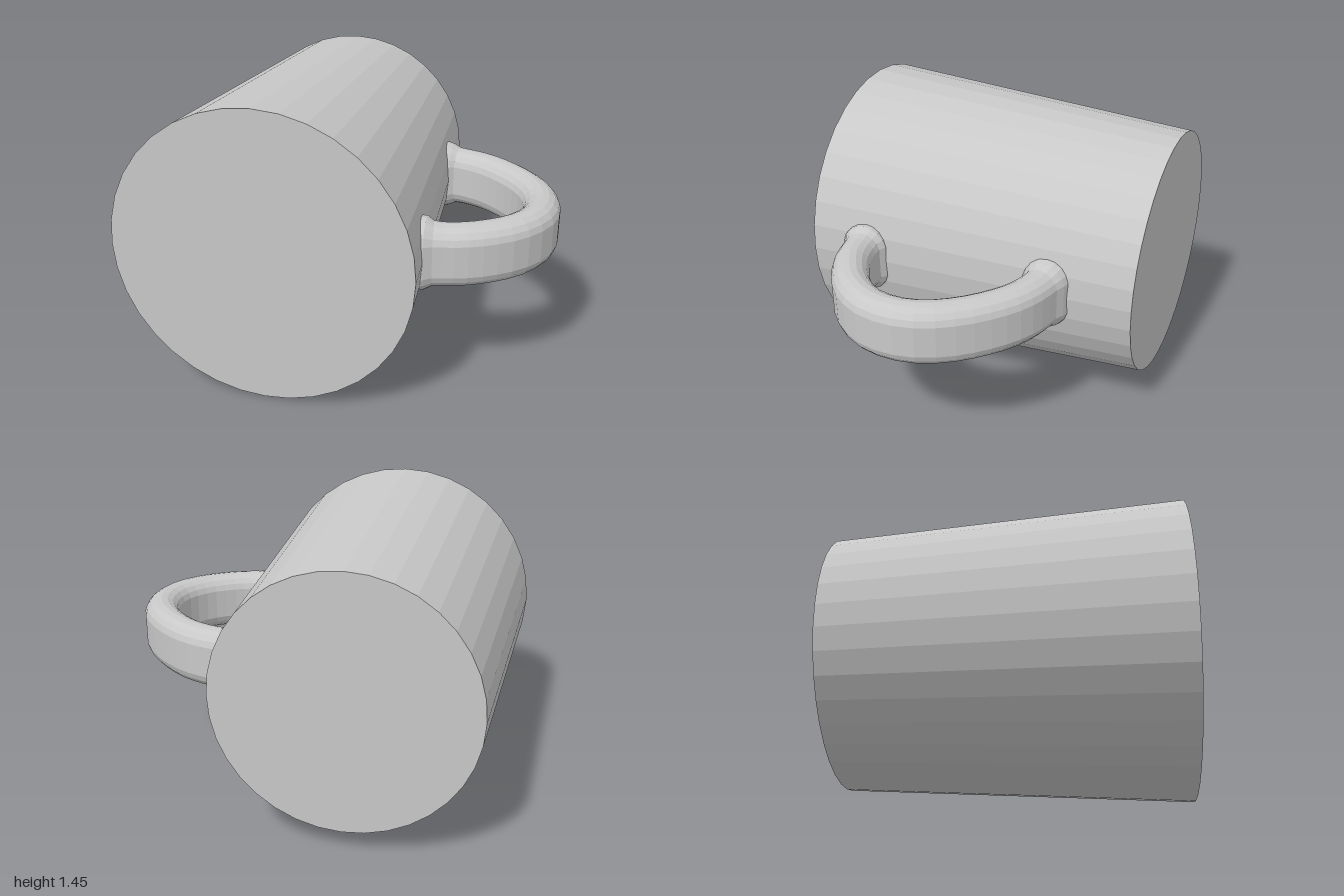
import * as THREE from 'three';

const AXIS_X = -0.275, AXIS_Y = 0.726;

// Handle centre line as [x, z] pairs, starting and ending inside the body
const PATH = [[0.32, -0.41], [0.44, -0.4], [0.6, -0.34], [0.785, -0.185], [0.88, -0.04], [0.91, 0.09],
  [0.89, 0.23], [0.8, 0.37], [0.675, 0.465], [0.58, 0.51], [0.46, 0.535], [0.37, 0.54]];

// Sweeps a stadium-shaped section along the path, flaring where it meets the body
function handleGeometry(steps, sides) {
  const curve = new THREE.CatmullRomCurve3(PATH.map(([x, z]) => new THREE.Vector3(x, AXIS_Y, z)));
  const up = new THREE.Vector3(0, 1, 0);
  const pos = [], index = [];
  for (let i = 0; i <= steps; i++) {
    // rings crowd towards both ends so the fillets are round
    const t = (1 - Math.cos(Math.PI * i / steps)) / 2;
    const c = curve.getPointAt(t);
    const n = up.clone().cross(curve.getTangentAt(t));
    const surface = AXIS_X + 0.6725 + 0.063 * c.z;
    const gap = Math.max(0, c.x - surface);
    const r = 0.091 + 0.026 * Math.pow(Math.max(0, 1 - gap / 0.06), 2);
    for (let j = 0; j < sides; j++) {
      const a = (j + 0.5) / sides * Math.PI * 2;
      const p = c.clone().addScaledVector(n, r * Math.cos(a));
      p.y += r * Math.sin(a) + 0.062 * Math.sign(Math.sin(a));
      pos.push(p.x, p.y, p.z);
    }
  }
  for (let i = 0; i < steps; i++) {
    for (let j = 0; j < sides; j++) {
      const k = (j + 1) % sides;
      const a = i * sides + j, b = i * sides + k, c = b + sides, d = a + sides;
      index.push(a, b, c, a, c, d);
    }
  }
  const g = new THREE.BufferGeometry();
  g.setAttribute('position', new THREE.Float32BufferAttribute(pos, 3));
  g.setIndex(index);
  g.computeVertexNormals();
  return g;
}

export function createModel() {
  const model = new THREE.Group();
  const grey = new THREE.MeshStandardMaterial({ color: 0xc8c8c8, flatShading: true });
  grey.name = 'light grey';

  // Tapered closed body lying along z, wide end to the front
  const body = new THREE.Mesh(new THREE.CylinderGeometry(0.726, 0.622, 1.66, 36).rotateX(Math.PI / 2), grey);
  body.name = 'body';
  body.position.set(AXIS_X, AXIS_Y, 0);

  // Looped handle on the left side
  const handle = new THREE.Mesh(handleGeometry(32, 18), grey);
  handle.name = 'handle';

  model.add(body, handle);
  return model;
}
